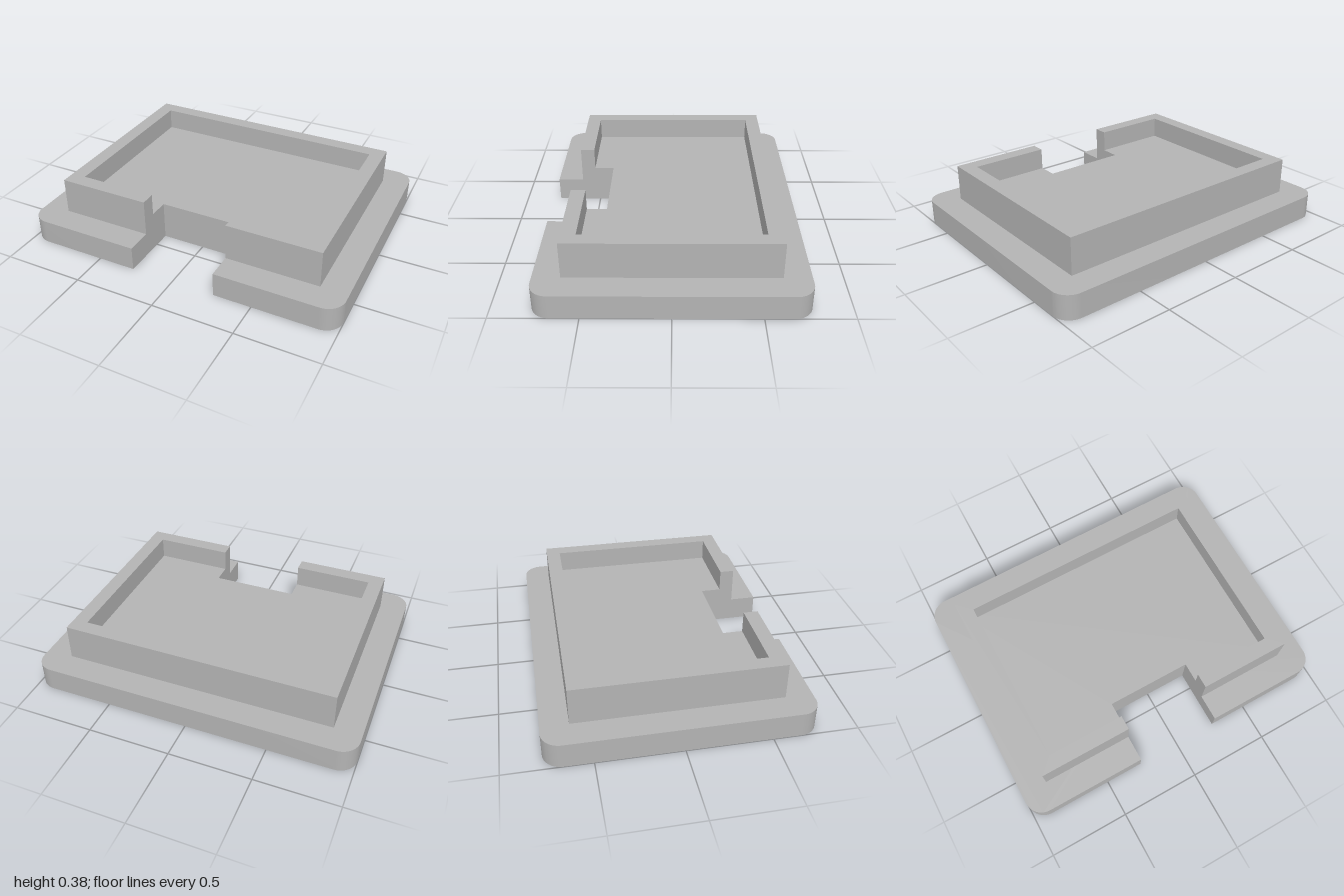
import * as THREE from 'three';
import { toCreasedNormals } from 'three/addons/utils/BufferGeometryUtils.js';

const NOTCH_X = 0.265, NOTCH_Z = 0.4;

// Rectangle outline with a notch cut into its front edge (shape y = -z)
function notchedPlate(hx, hz, r) {
  const s = new THREE.Shape();
  s.moveTo(NOTCH_X, -NOTCH_Z);
  s.lineTo(NOTCH_X, -hz);
  if (r > 0) {
    s.lineTo(hx - r, -hz);
    s.absarc(hx - r, -hz + r, r, -Math.PI / 2, 0, false);
    s.absarc(hx - r, hz - r, r, 0, Math.PI / 2, false);
    s.absarc(-hx + r, hz - r, r, Math.PI / 2, Math.PI, false);
    s.absarc(-hx + r, -hz + r, r, Math.PI, Math.PI * 1.5, false);
  } else {
    s.lineTo(hx, -hz);
    s.lineTo(hx, hz);
    s.lineTo(-hx, hz);
    s.lineTo(-hx, -hz);
  }
  s.lineTo(-NOTCH_X, -hz);
  s.lineTo(-NOTCH_X, -NOTCH_Z);
  s.closePath();
  return s;
}

// C-shaped wall outline, open at the notch
function rimOutline(ox, oz, ix, iz) {
  return new THREE.Shape([
    [NOTCH_X, -oz], [ox, -oz], [ox, oz], [-ox, oz], [-ox, -oz], [-NOTCH_X, -oz],
    [-NOTCH_X, -iz], [-ix, -iz], [-ix, iz], [ix, iz], [ix, -iz], [NOTCH_X, -iz],
  ].map(([x, y]) => new THREE.Vector2(x, y)));
}

export function createModel() {
  const group = new THREE.Group();
  group.name = 'notchedTray';
  const grey = new THREE.MeshStandardMaterial({ color: 0xb3b3b3 });
  grey.name = 'grey';

  // Extrude an outline upward between two heights
  const addLayer = (name, shape, y0, y1) => {
    const geo = new THREE.ExtrudeGeometry(shape, { depth: y1 - y0, bevelEnabled: false, curveSegments: 10 });
    geo.rotateX(-Math.PI / 2).translate(0, y0, 0);
    const mesh = new THREE.Mesh(toCreasedNormals(geo, 0.5), grey);
    mesh.name = name;
    group.add(mesh);
  };

  addLayer('basePlate', notchedPlate(1, 0.773, 0.11), 0, 0.15);
  addLayer('trayFloor', notchedPlate(0.836, 0.612, 0), 0.15, 0.24);
  addLayer('trayRim', rimOutline(0.836, 0.612, 0.746, 0.523), 0.24, 0.375);
  return group;
}
